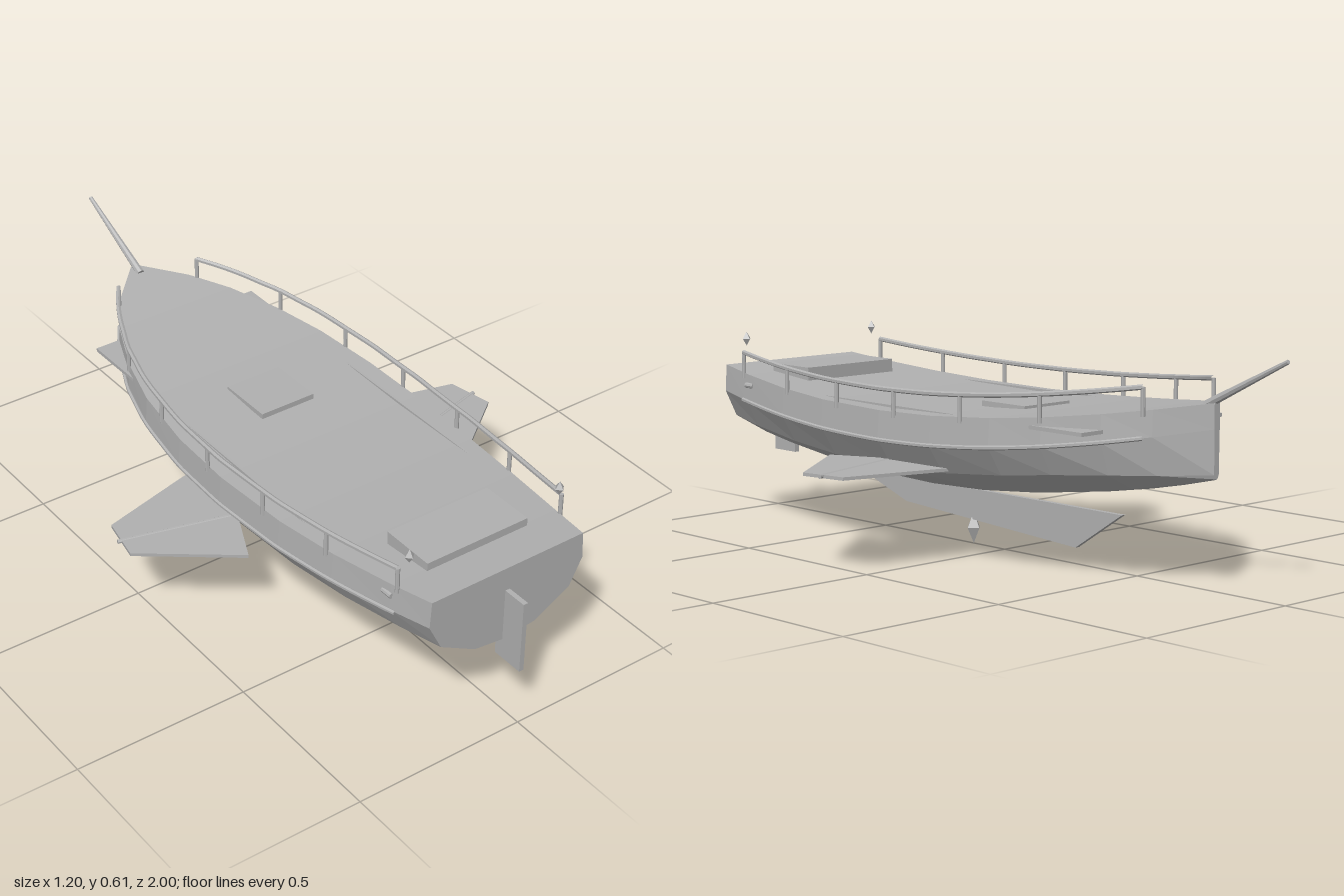
import * as THREE from 'three';

// half width of the deck, from stern (+z) to bow (-z)
const STATIONS = [[0.93, 0.24], [0.8, 0.262], [0.6, 0.292], [0.4, 0.313], [0.15, 0.324], [-0.05, 0.319],
  [-0.25, 0.294], [-0.4, 0.254], [-0.55, 0.19], [-0.66, 0.118], [-0.77, 0.01]];
// half cross-section: fraction of half width, fraction of hull height
const SECTION = [[1, 1], [1.02, 0.66], [0.86, 0.32], [0.4, 0.05], [0, 0]];

const deckY = z => 0.403 + 0.088 * (z - 0.18) ** 2;
const keelY = z => 0.17 + (z > 0.15 ? 0.095 : 0.138) * (z - 0.15) ** 2;

function halfWidth(z) {
  for (let i = 1; i < STATIONS.length; i++) {
    const [z0, w0] = STATIONS[i - 1], [z1, w1] = STATIONS[i];
    if (z >= z1) return w0 + (w1 - w0) * (z - z0) / (z1 - z0);
  }
  return 0;
}

// point on the hull skin for row j of the section
function hullPoint(z, j, side) {
  const [fx, fy] = SECTION[j];
  const t = Math.max(0, (-0.3 - z) / 0.47);
  const f = j > 1 ? fy * (1 - 0.8 * t * t) : fy; // the bilge closes on the keel at the bow
  const y0 = keelY(z);
  return new THREE.Vector3(side * fx * halfWidth(z), y0 + f * (deckY(z) - y0), z);
}

function hullGeometry() {
  const rings = STATIONS.map(([z]) => [
    ...SECTION.map((_, j) => hullPoint(z, j, 1)),
    ...[3, 2, 1, 0].map(j => hullPoint(z, j, -1)),
  ]);
  const n = rings[0].length, pos = [];
  const tri = (...p) => p.forEach(v => pos.push(v.x, v.y, v.z));
  for (let i = 0; i < rings.length - 1; i++) {
    for (let j = 0; j < n; j++) {
      const k = (j + 1) % n, A = rings[i], B = rings[i + 1];
      tri(A[j], A[k], B[k]);
      tri(A[j], B[k], B[j]);
    }
  }
  // transom and stem caps
  const S = rings[0], E = rings[rings.length - 1];
  for (let j = 1; j < n - 1; j++) {
    tri(S[0], S[j + 1], S[j]);
    tri(E[0], E[j], E[j + 1]);
  }
  const g = new THREE.BufferGeometry();
  g.setAttribute('position', new THREE.Float32BufferAttribute(pos, 3));
  g.computeVertexNormals();
  return g;
}

// flat plate of the given outline, centred on its thickness
function plate(points, depth) {
  const shape = new THREE.Shape(points.map(p => new THREE.Vector2(...p)));
  return new THREE.ExtrudeGeometry(shape, { depth, bevelEnabled: false }).translate(0, 0, -depth / 2);
}

export function createModel() {
  const model = new THREE.Group();
  const grey = new THREE.MeshStandardMaterial({ color: 0xb0b0b0, flatShading: true });
  grey.name = 'grey';

  const add = (name, geometry, x = 0, y = 0, z = 0) => {
    const m = new THREE.Mesh(geometry, grey);
    m.name = name;
    m.position.set(x, y, z);
    model.add(m);
    return m;
  };
  const box = (name, w, h, d, x, y, z) => add(name, new THREE.BoxGeometry(w, h, d), x, y, z);
  const rod = (name, a, b, r0, r1 = r0) => {
    const dir = b.clone().sub(a);
    const m = add(name, new THREE.CylinderGeometry(r1, r0, dir.length(), 8));
    m.position.copy(a).addScaledVector(dir, 0.5);
    m.quaternion.setFromUnitVectors(new THREE.Vector3(0, 1, 0), dir.normalize());
    return m;
  };
  const crystal = (name, r, h, x, y, z) =>
    add(name, new THREE.OctahedronGeometry(1).scale(r, h, r), x, y, z);
  const V = (x, y, z) => new THREE.Vector3(x, y, z);

  add('hull', hullGeometry());

  // deck fittings
  box('deckHatch', 0.17, 0.02, 0.165, 0, 0.412, -0.083);
  box('sternLocker', 0.32, 0.045, 0.16, 0, 0.438, 0.73);
  rod('bowsprit', V(0, 0.475, -0.735), V(0, 0.605, -0.997), 0.012, 0.006);

  // blades on the centre line
  add('rudder', new THREE.BoxGeometry(0.014, 0.213, 0.095), 0, 0.277, 0.9525);
  add('keelFin', plate([[-0.6, 0.155], [-0.4, 0.085], [0.28, 0.045], [0.45, 0.155]], 0.014)
    .rotateY(Math.PI / 2));
  crystal('keelCrystal', 0.023, 0.045, 0, 0.045, 0.125);

  // bow stabiliser passing through the hull
  box('bowStabiliser', 0.53, 0.01, 0.21, 0, 0.405, -0.45);

  // rails and strakes follow the sheer of the hull
  const zs = Array.from({ length: 25 }, (_, i) => 0.82 - i * 1.46 / 24);
  for (const s of [1, -1]) {
    const name = part => (s > 0 ? 'left' : 'right') + part;
    const railPoint = z => V(s * (halfWidth(z) + 0.002), deckY(z) + 0.06, z);
    const tube = (part, points, r) =>
      add(name(part), new THREE.TubeGeometry(new THREE.CatmullRomCurve3(points), 48, r, 6));
    tube('HandRail', zs.map(railPoint), 0.007);
    tube('Strake', zs.map(z => hullPoint(z, 1, s).add(V(s * 0.002, 0, 0))), 0.006);
    for (let i = 0; i < 7; i++) {
      const top = railPoint(0.82 - i * 1.46 / 6);
      rod(name('RailPost'), V(top.x, top.y - 0.075, top.z), top, 0.006);
    }

    // side wing with its spar
    const wing = plate([[s * 0.25, 0.08], [s * 0.315, 0.065], [s * 0.575, -0.003],
      [s * 0.6, -0.135], [s * 0.355, -0.32], [s * 0.25, -0.1]], 0.009);
    add(name('Wing'), wing.rotateX(-Math.PI / 2), 0, 0.262, 0);
    rod(name('WingSpar'), V(s * 0.27, 0.263, 0.157), V(s * 0.598, 0.263, 0.07), 0.006);

    // deck seam, stern peg and floating lantern
    box(name('DeckSeam'), 0.006, 0.01, 0.695, s * 0.265, 0.405, 0.188);
    rod(name('SternPeg'), V(s * 0.265, 0.405, 0.77), V(s * 0.265, 0.405, 0.805), 0.008);
    crystal(name('Lantern'), 0.014, 0.02, s * 0.238, 0.536, 0.835);
  }
  return model;
}
